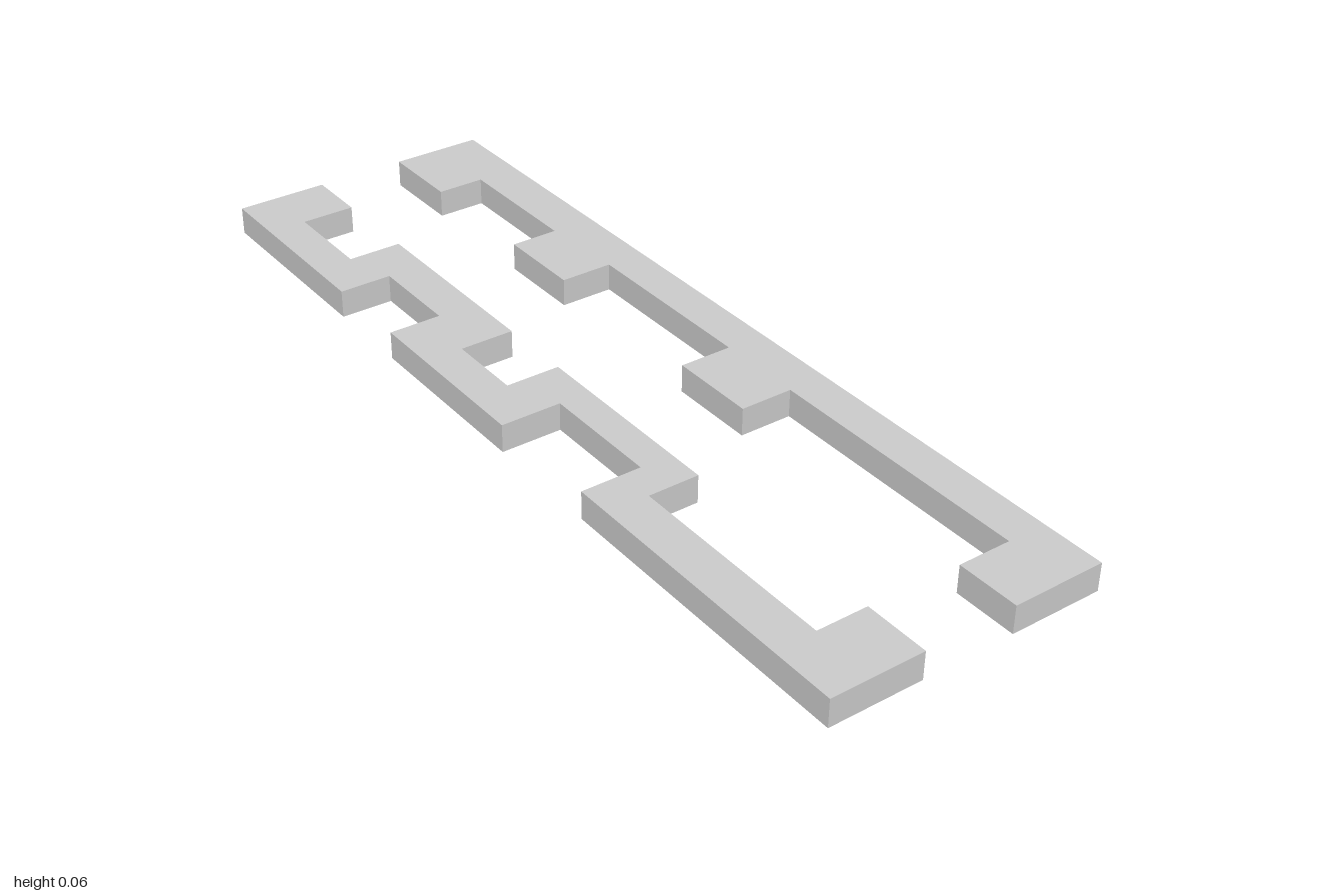
import * as THREE from 'three';

const HEIGHT = 0.06;

// Extrudes a floor-plan outline of [x, z] corners up from the ground
function slab(name, outline, material) {
  const shape = new THREE.Shape(outline.map(([x, z]) => new THREE.Vector2(x, z)));
  const geometry = new THREE.ExtrudeGeometry(shape, { depth: HEIGHT, bevelEnabled: false });
  geometry.rotateX(Math.PI / 2).translate(0, HEIGHT, 0);
  const mesh = new THREE.Mesh(geometry, material);
  mesh.name = name;
  return mesh;
}

// Corners of rectangular notches [x0, x1, z], cut from an edge at the given z
function notches(edge, list) {
  return list.flatMap(([x0, x1, z]) => [[x0, edge], [x0, z], [x1, z], [x1, edge]]);
}

export function createModel() {
  const group = new THREE.Group();
  group.name = 'notchedRails';
  const material = new THREE.MeshStandardMaterial({ color: 0xcccccc, flatShading: true });

  // Straight back rail with four teeth facing inwards
  group.add(slab('backRail', [
    [-1, -0.3], [-1, -0.1],
    ...notches(-0.1, [[-0.815, -0.515, -0.205], [-0.325, 0.085, -0.215], [0.275, 0.865, -0.215]]),
    [1, -0.1], [1, -0.3],
  ], material));

  // Meandering front rail, notched alternately from the inner and outer edge
  const inner = notches(0.1, [[-0.865, -0.66, 0.217], [-0.215, -0.05, 0.217], [0.4, 0.86, 0.21]]);
  const outer = notches(0.3, [[-0.55, -0.35, 0.187], [0.06, 0.32, 0.17]]);
  group.add(slab('frontRail', [
    [-1, 0.1], ...inner, [1, 0.1],
    [1, 0.3], ...outer.reverse(), [-1, 0.3],
  ], material));

  return group;
}
